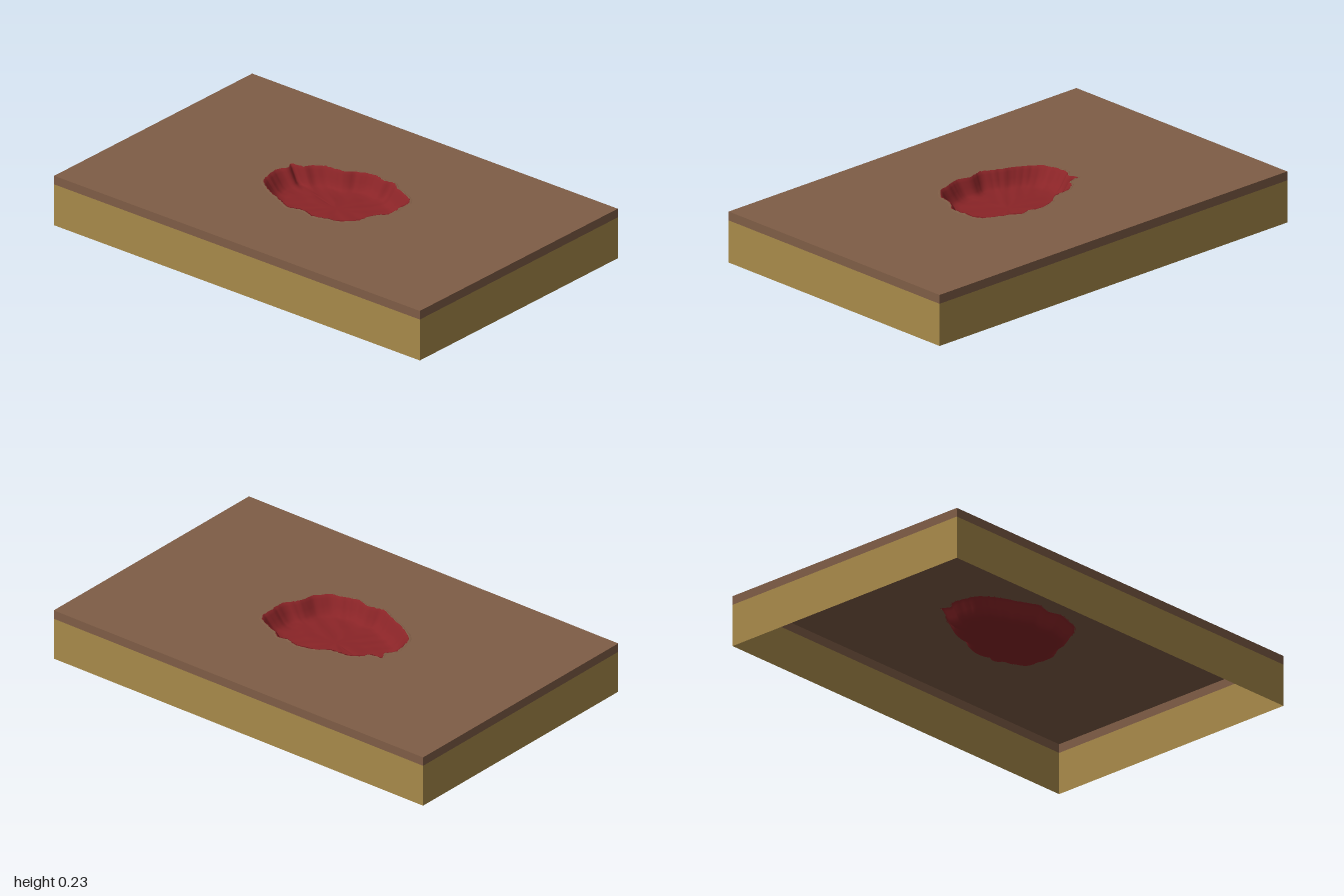
import * as THREE from 'three';

const W = 2, D = 1.28, H = 0.23, SPLIT = 0.19;

// Wound outline as x, z pairs, running around the rim
const RIM = [
  [0.305, -0.05], [0.295, -0.13], [0.235, -0.17], [0.165, -0.2], [0.13, -0.225], [0.085, -0.215],
  [0.03, -0.23], [-0.065, -0.205], [-0.1, -0.175], [-0.2, -0.16], [-0.245, -0.13], [-0.26, -0.1],
  [-0.32, -0.085], [-0.305, -0.05], [-0.33, -0.01], [-0.325, 0.05], [-0.31, 0.1], [-0.26, 0.15],
  [-0.19, 0.185], [-0.12, 0.215], [-0.065, 0.24], [0.005, 0.225], [0.075, 0.24], [0.14, 0.22],
  [0.19, 0.205], [0.245, 0.15], [0.26, 0.085], [0.285, 0.045], [0.305, 0.02],
];

function seeded(seed) {
  return () => (seed = (seed * 16807) % 2147483647) / 2147483647;
}

export function createModel() {
  const model = new THREE.Group();
  const material = (name, color) => {
    const m = new THREE.MeshStandardMaterial({ color, side: THREE.DoubleSide });
    m.name = name;
    return m;
  };
  const skin = material('brown skin', 0x7f5d46);
  const fat = material('yellow fat', 0xa88a4a);
  const flesh = material('red flesh', 0x8a2427);

  const add = (name, geometry, mat, parent = model) => {
    const mesh = new THREE.Mesh(geometry, mat);
    mesh.name = name;
    parent.add(mesh);
    return mesh;
  };

  // Four thin walls for each tissue layer, open underneath
  const layer = (name, y0, y1, mat) => {
    const group = new THREE.Group();
    group.name = name;
    for (let i = 0; i < 4; i++) {
      const [width, offset] = i % 2 ? [D, W / 2] : [W, D / 2];
      const g = new THREE.PlaneGeometry(width, y1 - y0);
      g.translate(0, (y0 + y1) / 2, offset).rotateY(i * Math.PI / 2);
      add(name + 'Wall', g, mat, group);
    }
    model.add(group);
  };
  layer('fatLayer', 0, SPLIT, fat);
  layer('skinLayer', SPLIT, H, skin);

  // Finely ragged wound edge
  const N = 160, random = seeded(77);
  const curve = new THREE.CatmullRomCurve3(RIM.map(([x, z]) => new THREE.Vector3(x, 0, z)), true);
  const rim = curve.getSpacedPoints(N).slice(0, N).map((p) => p.multiplyScalar(0.99 + 0.02 * random()));

  // Skin surface with the wound cut out
  const top = new THREE.Shape();
  top.moveTo(-W / 2, -D / 2).lineTo(W / 2, -D / 2).lineTo(W / 2, D / 2).lineTo(-W / 2, D / 2);
  top.closePath();
  top.holes.push(new THREE.Path(rim.map((p) => new THREE.Vector2(p.x, -p.z))));
  add('skinSurface', new THREE.ShapeGeometry(top).rotateX(-Math.PI / 2).translate(0, H, 0), skin);

  // Wound bowl: rings of [scale, height] from the rim down to the bumpy floor
  const rings = [
    [1, H], [0.985, H + 0.002], [0.95, H - 0.012], [0.9, H - 0.036], [0.85, H - 0.058],
    [0.79, H - 0.07], [0.7, H - 0.074], [0.55, H - 0.075], [0.4, H - 0.075], [0.2, H - 0.075],
  ];
  const position = [], index = [];
  rings.forEach(([s, y], r) => rim.forEach((p) => {
    const x = p.x * s, z = p.z * s;
    const bump = r === 1 ? 0.004 * (random() - 0.4)
      : r > 3 ? 0.002 * Math.sin(x * 61) * Math.cos(z * 67 + x * 20) : 0;
    position.push(x, y + bump, z);
  }));
  const centre = position.length / 3;
  position.push(0, H - 0.075, 0);
  for (let r = 0; r < rings.length; r++) {
    for (let i = 0; i < N; i++) {
      const a = r * N + i, b = r * N + (i + 1) % N;
      if (r === rings.length - 1) index.push(a, b, centre);
      else index.push(a, b, a + N, b, b + N, a + N);
    }
  }
  const bowl = new THREE.BufferGeometry();
  bowl.setAttribute('position', new THREE.Float32BufferAttribute(position, 3));
  bowl.setIndex(index);
  bowl.computeVertexNormals();
  add('woundBowl', bowl, flesh);

  // Slightly raised skin lip around the wound
  const lipPos = [], lipIndex = [];
  for (const [s, y] of [[1.03, 0], [1.005, 0.004], [0.985, 0]]) {
    for (const p of rim) lipPos.push(p.x * s, H + y * random(), p.z * s);
  }
  for (let r = 0; r < 2; r++) {
    for (let i = 0; i < N; i++) {
      const a = r * N + i, b = r * N + (i + 1) % N;
      lipIndex.push(a, b, a + N, b, b + N, a + N);
    }
  }
  const lip = new THREE.BufferGeometry();
  lip.setAttribute('position', new THREE.Float32BufferAttribute(lipPos, 3));
  lip.setIndex(lipIndex);
  lip.computeVertexNormals();
  add('woundLip', lip, skin);

  return model;
}
